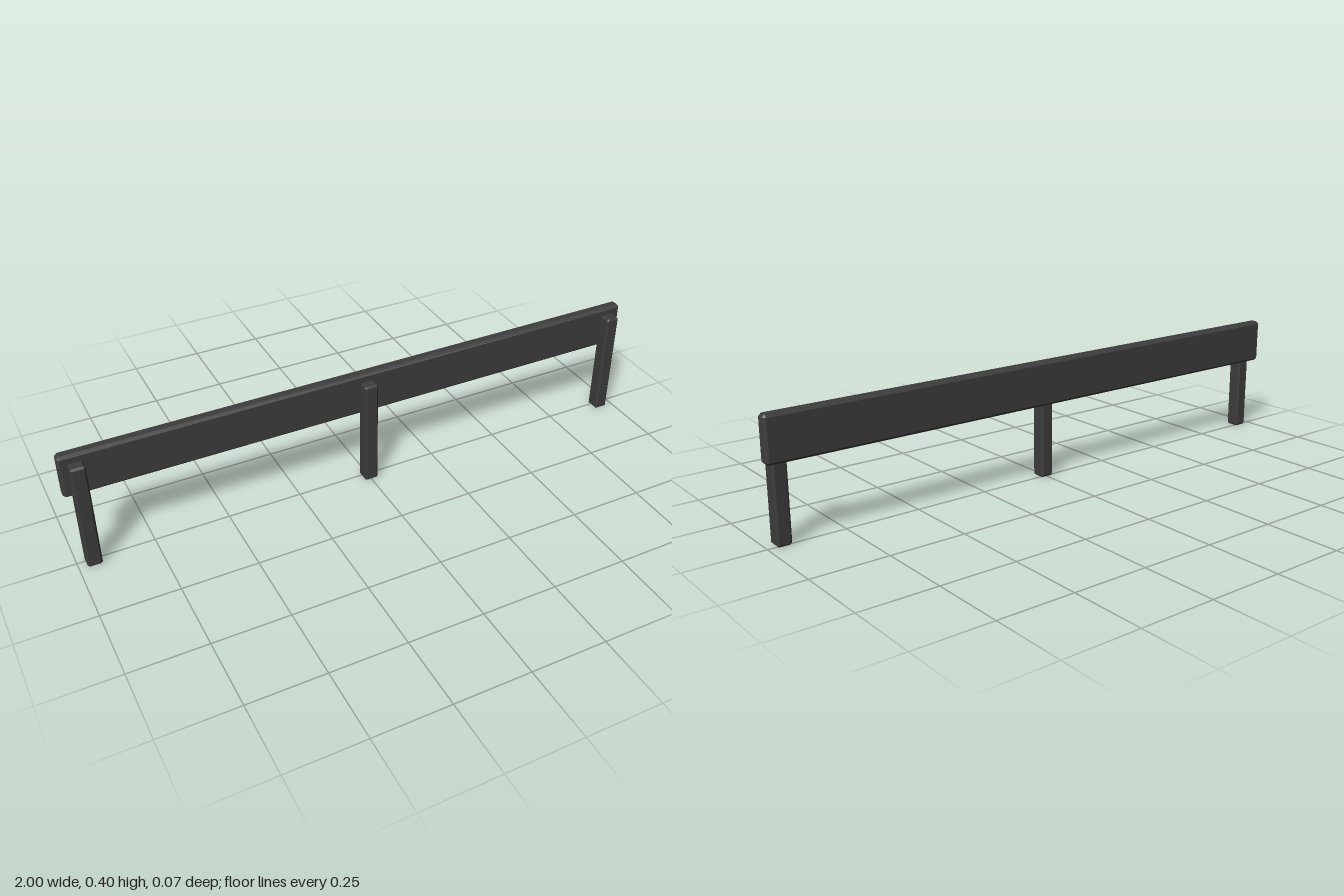
import * as THREE from 'three';
import { ConvexGeometry } from 'three/addons/geometries/ConvexGeometry.js';

// Box with every edge cut at 45 degrees
function chamferedBox(w, h, d, c) {
  const points = [];
  for (const sx of [-1, 1]) for (const sy of [-1, 1]) for (const sz of [-1, 1]) {
    const x = w / 2, y = h / 2, z = d / 2;
    points.push(
      new THREE.Vector3(sx * x, sy * (y - c), sz * (z - c)),
      new THREE.Vector3(sx * (x - c), sy * y, sz * (z - c)),
      new THREE.Vector3(sx * (x - c), sy * (y - c), sz * z)
    );
  }
  return new ConvexGeometry(points);
}

export function createModel() {
  const group = new THREE.Group();
  group.name = 'railBarrier';
  const charcoal = new THREE.MeshStandardMaterial({ color: 0x3d3d3d, flatShading: true });
  charcoal.name = 'charcoal';

  // Long horizontal board behind the posts
  const board = new THREE.Mesh(chamferedBox(2, 0.148, 0.04, 0.009), charcoal);
  board.name = 'board';
  board.position.set(0, 0.329, -0.017);
  group.add(board);

  // Three upright posts, set slightly into the board
  const postGeometry = chamferedBox(0.047, 0.375, 0.049, 0.006);
  [['rightPost', -0.95], ['middlePost', 0], ['leftPost', 0.95]].forEach(([name, x]) => {
    const post = new THREE.Mesh(postGeometry, charcoal);
    post.name = name;
    post.position.set(x, 0.1875, 0.0125);
    group.add(post);
  });

  return group;
}
